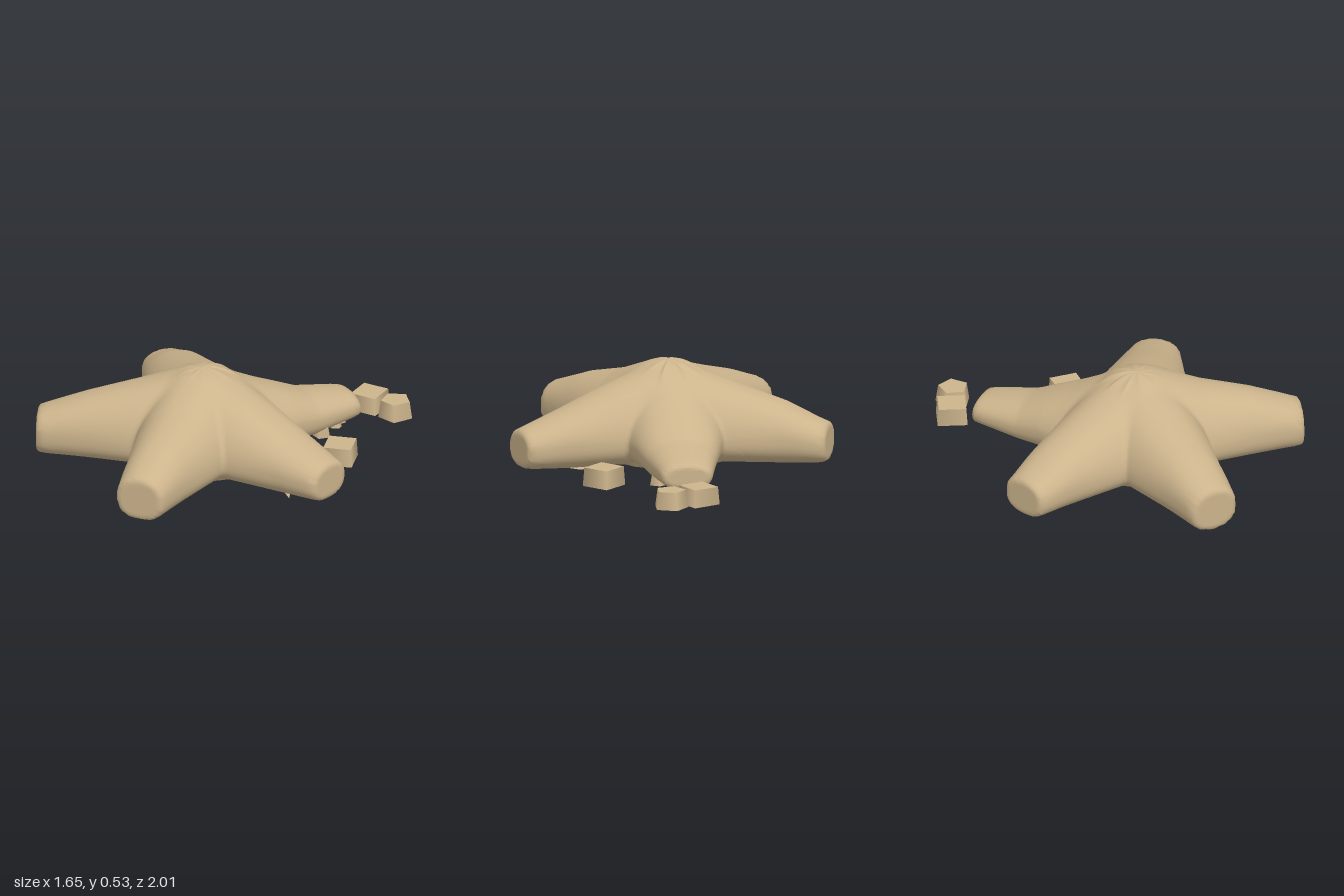
import * as THREE from 'three';
import { mergeVertices, toCreasedNormals } from 'three/addons/utils/BufferGeometryUtils.js';

const sand = new THREE.MeshStandardMaterial({ color: 0xccb48c });
sand.name = 'sand';
const CENTRE = new THREE.Vector3(-0.05, 0.16, 0.13);
const TOP = 0.535, BOTTOM = 0.01, BLEND = 0.03;

// Five arms: tip x, tip z, then heights near the centre, at the valley, further out and at the tip, lift of the tip
const arms = [
  [0.82, 0.12, 0.505, 0.415, 0.315, 0.235, 0.025],
  [0.218, 0.972, 0.52, 0.42, 0.355, 0.268, 0.02],
  [-0.765, 0.645, 0.505, 0.425, 0.35, 0.265, 0.015],
  [-0.753, -0.382, 0.5, 0.415, 0.335, 0.235, 0.02],
  [0.225, -0.732, 0.495, 0.36, 0.24, 0.18, 0.035],
].map(([x, z, inner, valley, outer, tip, lift]) => {
  const dx = x - CENTRE.x, dz = z - CENTRE.z, L = Math.hypot(dx, dz);
  return {
    ux: dx / L, uz: dz / L,
    // cross-sections: [distance, half width, top, bottom, peak]
    sections: [
      [0, 0.34, 0.535, 0.012, 1.45],
      [0.1, 0.32, inner, 0.012, 1.4],
      [0.36, 0.25, valley, 0.01, 1.15],
      [0.62, 0.183, outer, 0.012, 1],
      [L - 0.05, 0.14, tip + 0.01, lift, 0.9],
      [L - 0.012, 0.132, tip - 0.002, lift + 0.005, 0.9],
      [L, 0.115, tip - 0.02, lift + 0.02, 0.9],
    ],
  };
});

// Is a point, relative to the centre, inside one arm?
function insideArm({ ux, uz, sections }, x, y, z) {
  const along = x * ux + z * uz, across = Math.abs(x * uz - z * ux);
  const s = along < 0 ? -2.5 * along : along;
  const i = sections.findIndex((c) => c[0] > s);
  if (i < 0) return false;
  const a = sections[i - 1], b = sections[i], t = (s - a[0]) / (b[0] - a[0]);
  const [, w, top, bottom, peak] = a.map((v, k) => v + (b[k] - v) * t);
  const mid = Math.min(CENTRE.y, (top + bottom) / 2);
  const h = y + CENTRE.y - mid;
  const v = h > 0 ? Math.pow(h / (top - mid), 2 / peak) : Math.pow(-h / (mid - bottom), 2.67);
  return Math.pow(across / w, 2.22) + v < 1;
}

// Distance from the centre to the skin of one arm
function reach(arm, d) {
  let lo = 0, hi = 1.1;
  for (let k = 0; k < 16; k++) {
    const r = (lo + hi) / 2;
    if (insideArm(arm, d.x * r, d.y * r, d.z * r)) lo = r;
    else hi = r;
  }
  return lo;
}

// A sphere pushed out to the blended skin of all the arms
function bodyGeometry() {
  const sphere = new THREE.SphereGeometry(1, 320, 100);
  sphere.deleteAttribute('uv');
  sphere.deleteAttribute('normal');
  const p = sphere.attributes.position, d = new THREE.Vector3();
  for (let i = 0; i < p.count; i++) {
    d.fromBufferAttribute(p, i).normalize();
    // more rows near the equator, where the arms are
    const u = Math.asin(d.y) / (Math.PI / 2);
    const lat = Math.sign(u) * Math.pow(Math.abs(u), 1.6) * Math.PI / 2;
    const lon = Math.atan2(d.z, d.x);
    d.set(Math.cos(lat) * Math.cos(lon), Math.sin(lat), Math.cos(lat) * Math.sin(lon));
    // soften only the two longest reaches, and less towards the summit
    const [a, b] = arms.map((arm) => reach(arm, d)).sort((m, n) => n - m);
    const k = BLEND * Math.cos(lat) + 0.001;
    const h = Math.max(k - (a - b), 0) / k;
    let r = a + h * h * k / 4;
    if (d.y > 0) r = Math.min(r, (TOP - CENTRE.y) / d.y);
    if (d.y < 0) r = Math.min(r, (BOTTOM - CENTRE.y) / d.y);
    d.multiplyScalar(r).add(CENTRE);
    p.setXYZ(i, d.x, d.y, d.z);
  }
  return toCreasedNormals(mergeVertices(sphere, 1e-5), 1);
}

export function createModel() {
  const model = new THREE.Group();
  model.name = 'starfish';

  const body = new THREE.Mesh(bodyGeometry(), sand);
  body.name = 'fiveArmedBody';
  model.add(body);

  // Loose stones: x, z, radius, base y, height, corners, turn, top taper
  const stones = [
    [0.23, -0.89, 0.112, 0.005, 0.095, 4, 0.98, 0.92],
    [0.4, -0.905, 0.095, 0.005, 0.095, 5, 0.6, 0.85],
    [0.52, -0.31, 0.113, 0.002, 0.1, 4, 1.28, 0.93],
    [0.27, -0.455, 0.05, 0.015, 0.055, 5, 0.4, 0.8],
    [0.2, -0.54, 0.036, 0.012, 0.035, 5, 1.1, 0.7],
    [0.25, -0.59, 0.034, 0.01, 0.035, 6, 0.2, 0.7],
    [0.18, -0.62, 0.034, 0.012, 0.035, 5, 0.7, 0.7],
    [0.24, -0.65, 0.026, 0.012, 0.03, 5, 1.9, 0.7],
  ];
  stones.forEach(([x, z, r, y, h, sides, turn, taper], i) => {
    const stone = new THREE.Mesh(new THREE.CylinderGeometry(r * taper, r, h, sides), sand);
    stone.name = (i < 3 ? 'stone' : 'pebble') + (i + 1);
    stone.position.set(x, y + h / 2, z);
    stone.rotation.y = turn;
    model.add(stone);
  });

  // Thin flakes beside and under the right-hand arm, faced on both sides
  const flakes = [
    [[0.62, 0.004, 0.22], [0.28, 0.006, 0.02], [0.5, 0.004, 0.05]],
    [[0.3, 0.15, -0.15], [0.34, 0.02, 0], [0.32, 0.06, -0.02]],
  ];
  flakes.forEach(([a, b, c], i) => {
    const g = new THREE.BufferGeometry();
    g.setAttribute('position', new THREE.Float32BufferAttribute([a, b, c, a, c, b].flat(), 3));
    g.computeVertexNormals();
    const flake = new THREE.Mesh(g, sand);
    flake.name = 'flake' + (i + 1);
    model.add(flake);
  });
  return model;
}
